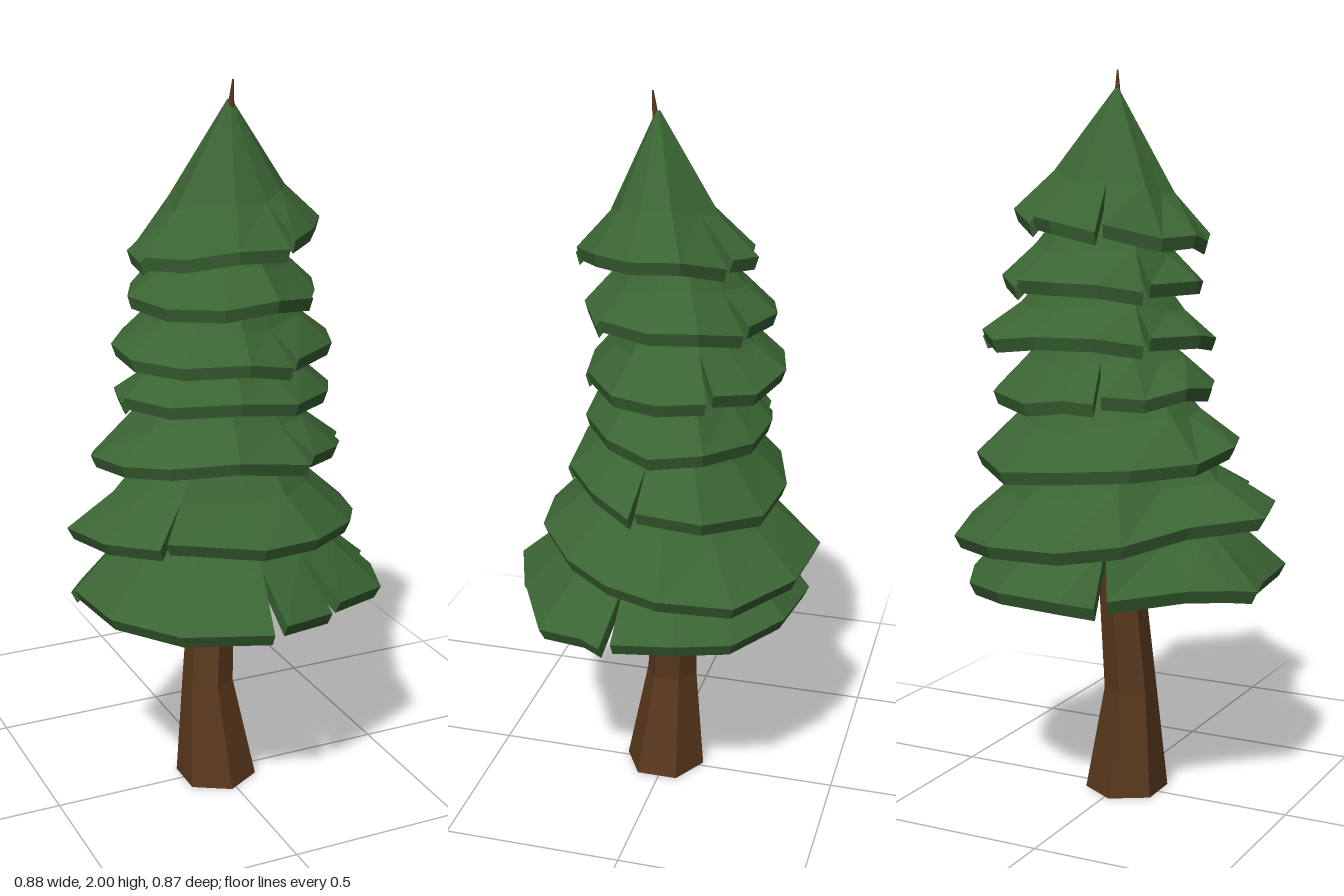
import * as THREE from 'three';

const needles = new THREE.MeshStandardMaterial({ color: 0x3b6534 });
needles.name = 'needle green';
const bark = new THREE.MeshStandardMaterial({ color: 0x5a391d });
bark.name = 'bark brown';

// Faceted mesh from a list of quads, each with corners counterclockwise from outside.
function facetedMesh(name, quads, material) {
  const points = [];
  for (const [a, b, c, d] of quads) points.push(a, b, c, a, c, d);
  const geometry = new THREE.BufferGeometry().setFromPoints(points);
  geometry.computeVertexNormals();
  const mesh = new THREE.Mesh(geometry, material);
  mesh.name = name;
  return mesh;
}

// One hollow skirt of branches. The outline holds x, z pairs, running from +x to -z.
function branchTier({ name, outline, y, tilt, centre, mid, top, inner = 0.12, notches = [], gap = 0.01 }) {
  const [cx, cz] = centre;
  const thick = 0.035;
  const at = (x, z, k, h) => new THREE.Vector3(cx + (x - cx) * k, h, cz + (z - cz) * k);

  // A column holds the outer and under points of one rib, from rim to crown.
  const column = (x, z, i, side) => {
    const len = Math.hypot(x - cx, z - cz);
    const rx = x + ((z - cz) / len) * side * gap;
    const rz = z - ((x - cx) / len) * side * gap;
    const rimY = y + tilt[0] * x + tilt[1] * z + 0.008 * Math.sin(i * 2.3) + side * 0.01;
    const midY = y + 0.6 * (tilt[0] * x + tilt[1] * z) + mid[1] + 0.012 * Math.sin(i * 1.7);
    const midK = mid[0] + 0.03 * Math.sin(i * 2.9);
    return {
      out: [at(rx, rz, 1, rimY), at(x, z, midK, midY), at(x, z, inner, y + top)],
      under: [at(rx, rz, 0.96, rimY - thick), at(x, z, midK * 0.94, midY - thick),
        at(x, z, inner * 0.9, y + top - thick)],
    };
  };

  const quads = [];
  const count = outline.length / 2;
  const ribs = [];
  for (let i = 0; i < count; i++) {
    const x = outline[i * 2], z = outline[i * 2 + 1];
    const split = notches.includes(i) ? 1 : 0;
    ribs.push({ end: column(x, z, i, -split), start: column(x, z, i, split), split });
  }
  for (let i = 0; i < count; i++) {
    const a = ribs[i].start, b = ribs[(i + 1) % count].end;
    quads.push([a.under[0], b.under[0], b.out[0], a.out[0]]);
    for (let j = 0; j < 2; j++) {
      quads.push([a.out[j], b.out[j], b.out[j + 1], a.out[j + 1]]);
      quads.push([a.under[j], a.under[j + 1], b.under[j + 1], b.under[j]]);
    }
    // Cut faces on both sides of a notch
    if (ribs[i].split) {
      const e = ribs[i].end;
      quads.push([e.under[0], e.under[1], e.out[1], e.out[0]]);
      quads.push([a.out[0], a.out[1], a.under[1], a.under[0]]);
    }
  }
  return facetedMesh(name, quads, needles);
}

// Bent, tapering six-sided trunk: y, centre x, centre z, radius for each section.
function trunk() {
  const sides = 6;
  const sections = [
    [0, -0.016, 0.005, 0.116], [0.3, -0.035, -0.01, 0.073], [0.6, -0.015, -0.024, 0.064],
    [1.2, 0.02, -0.03, 0.04], [1.9, 0.02, 0.018, 0.012], [2, 0.024, 0.027, 0.002],
  ];
  const rings = sections.map(([y, x, z, r]) => Array.from({ length: sides }, (_, i) => {
    const t = ((i + 0.5) / sides) * Math.PI * 2;
    return new THREE.Vector3(x + r * Math.cos(t), y, z - r * Math.sin(t));
  }));
  const quads = [];
  const base = new THREE.Vector3(-0.02, 0.03, 0);
  for (let i = 0; i < sides; i++) {
    const n = (i + 1) % sides;
    for (let j = 0; j < rings.length - 1; j++) {
      quads.push([rings[j][i], rings[j][n], rings[j + 1][n], rings[j + 1][i]]);
    }
    quads.push([rings[0][n], rings[0][i], base, base]);
  }
  return facetedMesh('trunk', quads, bark);
}

export function createModel() {
  const tree = new THREE.Group();
  tree.name = 'pineTree';
  tree.add(trunk());

  tree.add(branchTier({
    name: 'branchTier1', y: 0.632, tilt: [-0.02, 0], centre: [0, -0.01], mid: [0.7, 0.12], top: 0.4,
    notches: [0, 5, 8, 11, 12], gap: 0.017,
    outline: [0.435, 0.05, 0.4, -0.13, 0.33, -0.27, 0.18, -0.38, -0.02, -0.41, -0.12, -0.36, -0.29, -0.19,
      -0.38, -0.1, -0.43, -0.03, -0.41, 0.21, -0.27, 0.355, -0.02, 0.43, 0.18, 0.36, 0.38, 0.25, 0.42, 0.12],
  }));
  tree.add(branchTier({
    name: 'branchTier2', y: 0.802, tilt: [-0.065, 0.08], centre: [0.01, -0.03], mid: [0.67, 0.1], top: 0.38,
    notches: [9],
    outline: [0.39, 0.06, 0.43, -0.09, 0.37, -0.28, 0.19, -0.41, -0.03, -0.435, -0.165, -0.33, -0.29, -0.18,
      -0.44, -0.03, -0.4, 0.15, -0.28, 0.265, -0.02, 0.335, 0.15, 0.31, 0.31, 0.19],
  }));
  tree.add(branchTier({
    name: 'branchTier3', y: 0.998, tilt: [-0.04, 0.12], centre: [0.02, -0.04], mid: [0.68, 0.09], top: 0.32,
    notches: [0, 10],
    outline: [0.375, -0.01, 0.35, -0.19, 0.2, -0.32, 0.02, -0.345, -0.17, -0.29, -0.31, -0.17, -0.36, -0.05,
      -0.32, 0.08, -0.22, 0.17, -0.05, 0.24, 0.17, 0.225, 0.3, 0.12],
  }));
  tree.add(branchTier({
    name: 'branchTier4', y: 1.16, tilt: [-0.05, 0.07], centre: [0.02, -0.04], mid: [0.7, 0.08], top: 0.3,
    notches: [4, 7],
    outline: [0.36, -0.05, 0.3, -0.18, 0.15, -0.28, 0.02, -0.3, -0.07, -0.28, -0.18, -0.22, -0.26, -0.13,
      -0.28, -0.01, -0.2, 0.12, -0.02, 0.19, 0.15, 0.18, 0.29, 0.08],
  }));
  tree.add(branchTier({
    name: 'branchTier5', y: 1.29, tilt: [-0.02, -0.05], centre: [0.02, -0.04], mid: [0.68, 0.08], top: 0.31,
    notches: [1, 5, 10],
    outline: [0.36, -0.07, 0.32, -0.2, 0.23, -0.3, 0.08, -0.345, -0.07, -0.31, -0.19, -0.23, -0.28, -0.09,
      -0.27, 0.03, -0.17, 0.14, 0, 0.2, 0.14, 0.18, 0.31, 0.06],
  }));
  tree.add(branchTier({
    name: 'branchTier6', y: 1.443, tilt: [0.02, 0], centre: [0.02, -0.03], mid: [0.68, 0.08], top: 0.3,
    notches: [2, 5, 10],
    outline: [0.29, -0.03, 0.28, -0.16, 0.18, -0.26, 0.04, -0.31, -0.07, -0.28, -0.175, -0.2, -0.25, -0.04,
      -0.2, 0.1, -0.07, 0.19, 0.08, 0.2, 0.22, 0.12],
  }));
  tree.add(branchTier({
    name: 'crownTier', y: 1.59, tilt: [0.13, 0], centre: [0.02, 0.015], mid: [0.6, 0.11], top: 0.36,
    inner: 0.02, notches: [2, 4, 7, 10],
    outline: [0.285, 0.02, 0.27, -0.11, 0.16, -0.21, 0.075, -0.265, -0.05, -0.23, -0.19, -0.14, -0.245, -0.05,
      -0.24, 0.045, -0.16, 0.13, -0.04, 0.21, 0.11, 0.21, 0.21, 0.13],
  }));
  return tree;
}
